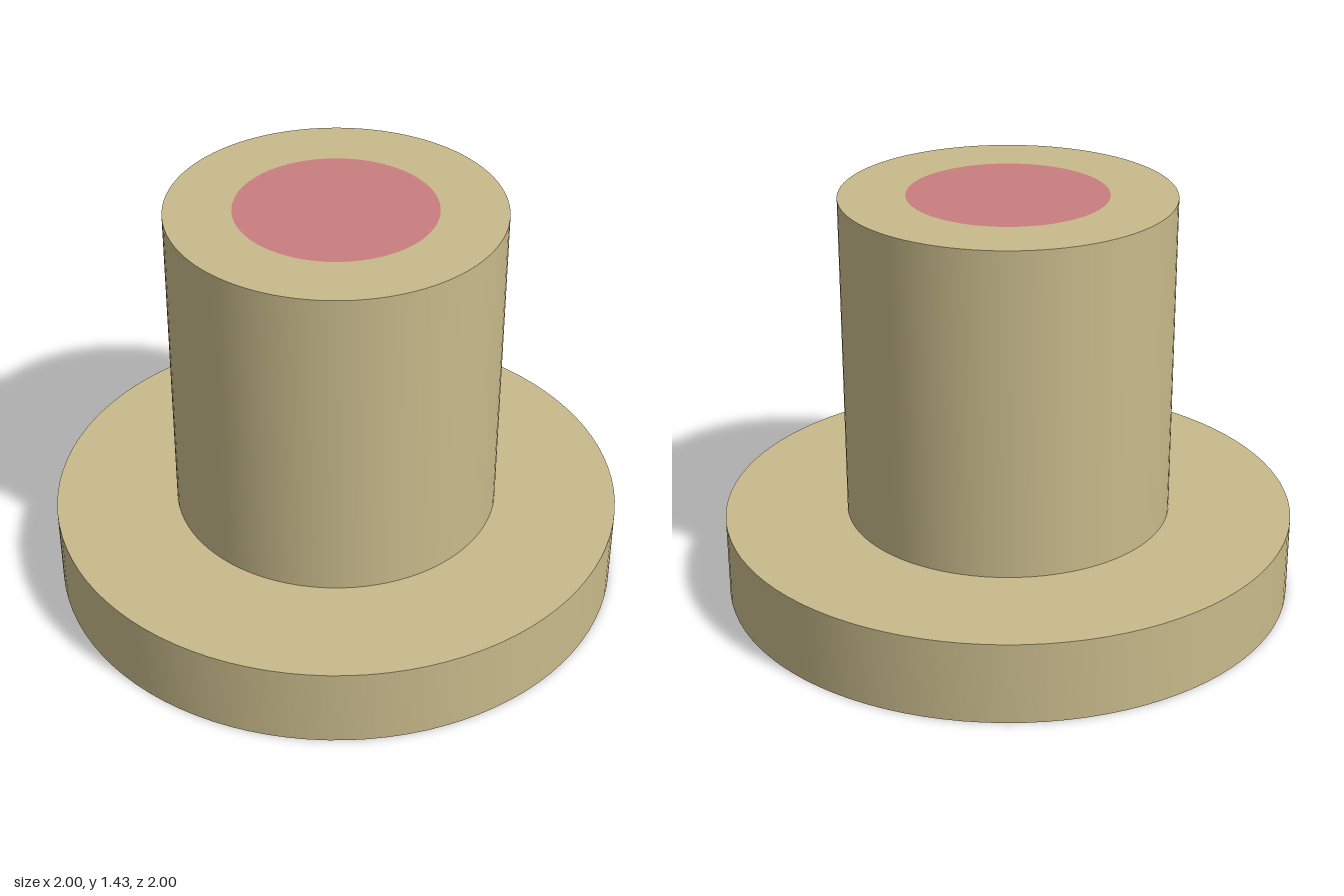
import * as THREE from 'three';
import { toCreasedNormals } from 'three/addons/utils/BufferGeometryUtils.js';

const SEGMENTS = 96;
const HEIGHT = 1.429;
const FLANGE_HEIGHT = 0.286;
const FLANGE_RADIUS = 1;
const SLEEVE_RADIUS = 0.571;
const CORE_RADIUS = 0.343;

export function createModel() {
  const tan = new THREE.MeshStandardMaterial({ color: 0xc8ba8b });
  tan.name = 'tan';
  const red = new THREE.MeshStandardMaterial({ color: 0xca7e80 });
  red.name = 'dusty red';

  const group = new THREE.Group();
  group.name = 'flangedBushing';

  // Flanged sleeve: one turned profile, from the bore edge below to the bore edge above
  const profile = [
    [CORE_RADIUS, 0],
    [FLANGE_RADIUS, 0],
    [FLANGE_RADIUS, FLANGE_HEIGHT],
    [SLEEVE_RADIUS, FLANGE_HEIGHT],
    [SLEEVE_RADIUS, HEIGHT],
    [CORE_RADIUS, HEIGHT],
  ].map(([r, y]) => new THREE.Vector2(r, y));
  const sleeve = new THREE.Mesh(
    toCreasedNormals(new THREE.LatheGeometry(profile, SEGMENTS), Math.PI / 6), tan);
  sleeve.name = 'flangedSleeve';
  group.add(sleeve);

  // Core filling the bore, flush with both ends
  const core = new THREE.Mesh(
    new THREE.CylinderGeometry(CORE_RADIUS, CORE_RADIUS, HEIGHT, SEGMENTS), red);
  core.name = 'core';
  core.position.y = HEIGHT / 2;
  group.add(core);

  return group;
}
